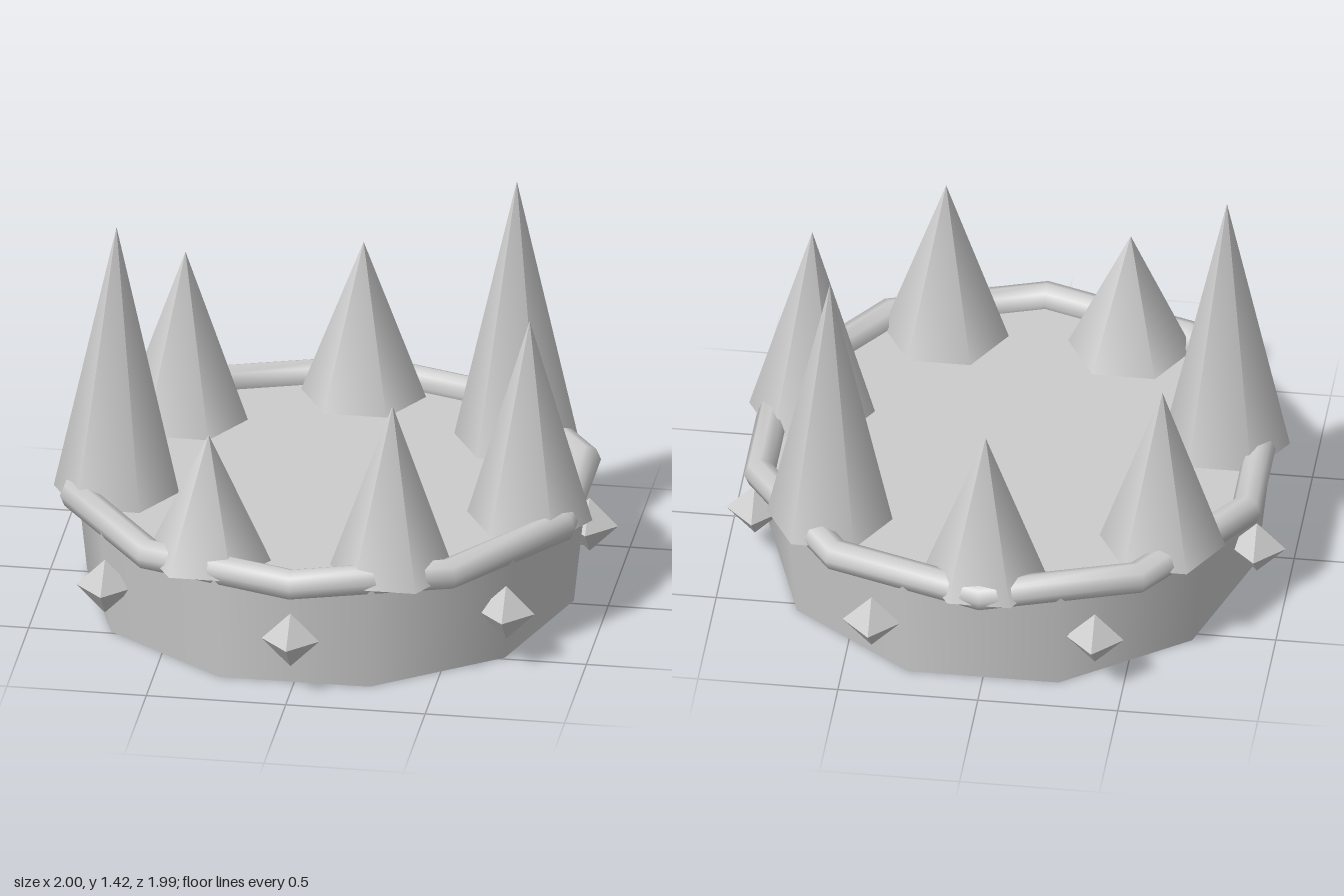
import * as THREE from 'three';

export function createModel() {
  const model = new THREE.Group();
  const grey = new THREE.MeshStandardMaterial({ color: 0xcccccc });
  grey.name = 'light grey';

  const crown = new THREE.Group();
  crown.name = 'crown';
  crown.position.z = -0.026;
  model.add(crown);

  const add = (name, geometry, x, y, z) => {
    const mesh = new THREE.Mesh(geometry, grey);
    mesh.name = name;
    mesh.position.set(x, y, z);
    crown.add(mesh);
  };

  // Ten-sided band, slightly flared, with corners on the x axis
  const bandHeight = 0.4;
  const band = new THREE.CylinderGeometry(0.915, 0.873, bandHeight, 10);
  band.rotateY(Math.PI / 10);
  add('band', band, 0, bandHeight / 2, 0);

  // Ten-sided rim, with corners on the z axis
  const rim = new THREE.TorusGeometry(0.914, 0.057, 8, 10);
  rim.rotateX(Math.PI / 2).rotateY(Math.PI / 2);
  add('rim', rim, 0, 0.418, 0);

  // Seven six-sided spikes of uneven height, starting at the back
  const spikeTips = [0.99, 1.4, 1.16, 1.035, 0.875, 1.42, 1.04];
  spikeTips.forEach((tip, i) => {
    const angle = (i / 7) * Math.PI * 2;
    const height = tip - 0.397;
    const spike = new THREE.ConeGeometry(0.225, height, 6);
    spike.rotateY(Math.PI / 6);
    add('spike', spike, 0.76 * Math.sin(angle), tip - height / 2, -0.76 * Math.cos(angle));
  });

  // Seven gems around the band, starting at the front
  const gem = new THREE.OctahedronGeometry(0.103);
  for (let i = 0; i < 7; i++) {
    const angle = (i / 7) * Math.PI * 2;
    add('gem', gem, 0.92 * Math.sin(angle), 0.205, 0.92 * Math.cos(angle));
  }

  return model;
}
